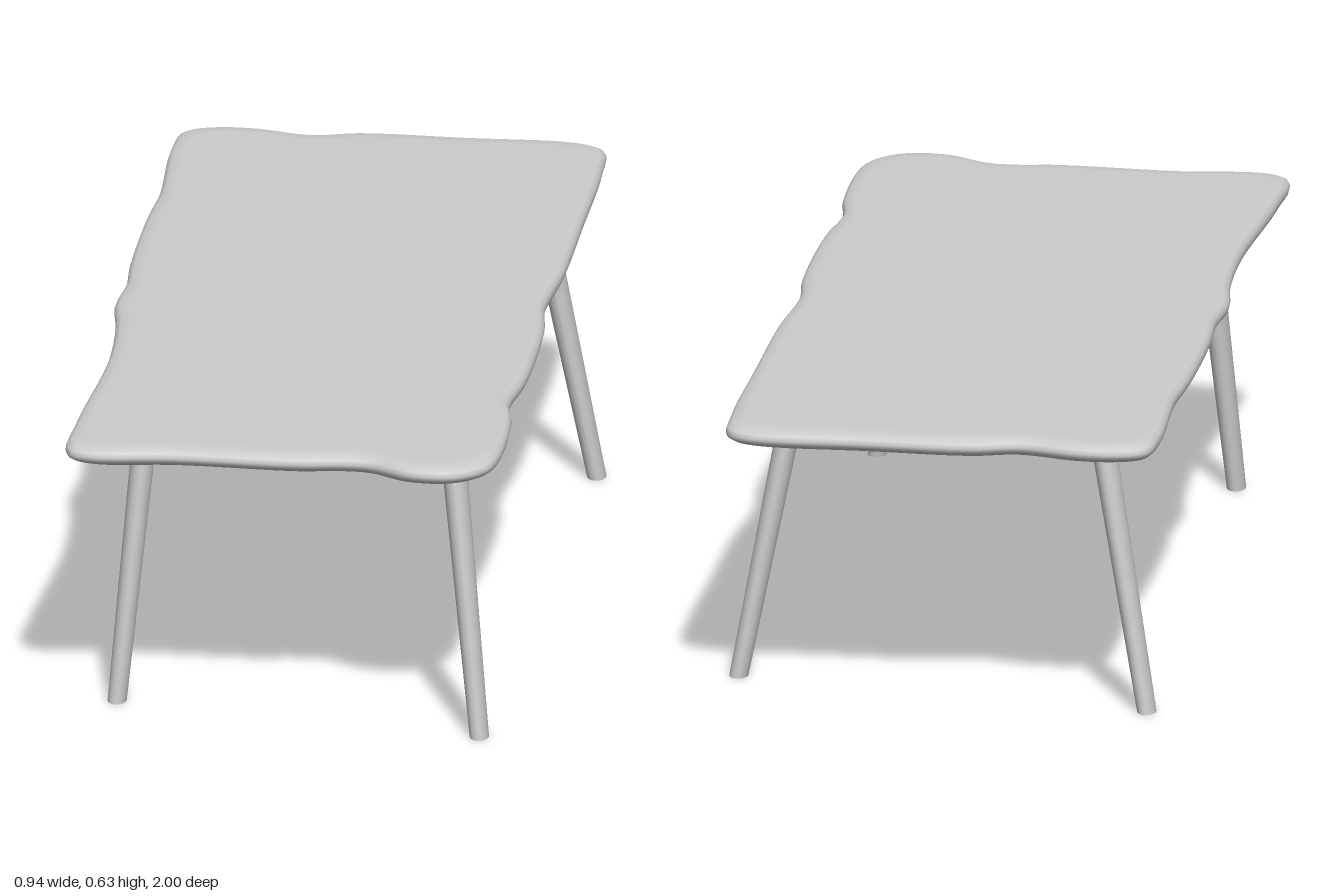
import * as THREE from 'three';

const material = new THREE.MeshStandardMaterial({ color: 0xcccccc });
const { lerp } = THREE.MathUtils;

// Wavy live edge of the slab as x, z pairs, from the back left round to the front
const EDGE = [
  -0.455, -0.97, -0.4, -0.997, -0.315, -1, -0.19, -0.975, -0.09, -1, 0.14, -1, 0.37, -1,
  0.425, -0.97, 0.437, -0.87, 0.437, -0.55, 0.435, -0.24, 0.422, -0.03, 0.437, 0.1, 0.437, 0.4,
  0.422, 0.55, 0.439, 0.66, 0.439, 0.87, 0.42, 0.94, 0.36, 0.99, 0.27, 0.992,
  0.18, 0.948, 0.11, 0.945, 0.03, 0.957, -0.235, 0.952, -0.405, 0.968, -0.455, 0.945,
  -0.46, 0.79, -0.44, 0.42, -0.45, 0.2, -0.468, 0.07, -0.46, -0.05, -0.468, -0.18,
  -0.468, -0.45, -0.46, -0.6, -0.47, -0.87,
];

// Rounded edge section, bottom to top: inset and height
const SECTION = [
  [0.05, 0.59], [0.018, 0.593], [0.004, 0.602], [0, 0.612],
  [0.005, 0.621], [0.02, 0.629], [0.055, 0.632],
];

function createSlab() {
  const points = [];
  for (let i = 0; i < EDGE.length; i += 2) points.push(new THREE.Vector3(EDGE[i], 0, EDGE[i + 1]));
  const curve = new THREE.CatmullRomCurve3(points, true, 'centripetal');
  const n = points.length * 5;
  const position = [];
  const index = [];

  // One ring of the outline per section point, drawn in towards the middle
  for (const [inset, y] of SECTION) {
    for (let i = 0; i < n; i++) {
      const p = curve.getPoint(i / n);
      position.push(p.x * (1 - inset * 1.3), y, p.z * (1 - inset));
    }
  }
  const last = SECTION.length - 1;
  const bottom = position.length / 3;
  position.push(0, SECTION[0][1], 0, 0, SECTION[last][1], 0);

  for (let i = 0; i < n; i++) {
    const j = (i + 1) % n;
    for (let k = 0; k < last; k++) {
      const a = k * n + i, b = k * n + j;
      index.push(a, a + n, b, b, a + n, b + n);
    }
    // Flat underside and top
    index.push(bottom, i, j, bottom + 1, last * n + j, last * n + i);
  }

  const geometry = new THREE.BufferGeometry();
  geometry.setAttribute('position', new THREE.Float32BufferAttribute(position, 3));
  geometry.setIndex(index);
  geometry.computeVertexNormals();
  const slab = new THREE.Mesh(geometry, material);
  slab.name = 'tabletop';
  return slab;
}

// Splayed, tapered oval leg with level ends
function createLeg(name, footX, footZ, topX, topZ) {
  const height = 0.6;
  const geometry = new THREE.CylinderGeometry(1, 1, height, 24);
  geometry.translate(0, height / 2, 0);
  const p = geometry.attributes.position;
  for (let i = 0; i < p.count; i++) {
    const t = p.getY(i) / height;
    p.setX(i, lerp(footX, topX, t) + p.getX(i) * lerp(0.02, 0.026, t));
    p.setZ(i, lerp(footZ, topZ, t) + p.getZ(i) * lerp(0.028, 0.041, t));
  }
  geometry.computeVertexNormals();
  const leg = new THREE.Mesh(geometry, material);
  leg.name = name;
  return leg;
}

export function createModel() {
  const table = new THREE.Group();
  table.name = 'table';
  table.add(
    createSlab(),
    createLeg('frontLeftLeg', 0.4, 0.88, 0.335, 0.8),
    createLeg('frontRightLeg', -0.375, 0.76, -0.323, 0.685),
    createLeg('backLeftLeg', 0.446, -0.69, 0.335, -0.64),
    createLeg('backRightLeg', -0.432, -0.81, -0.325, -0.75),
  );
  return table;
}
